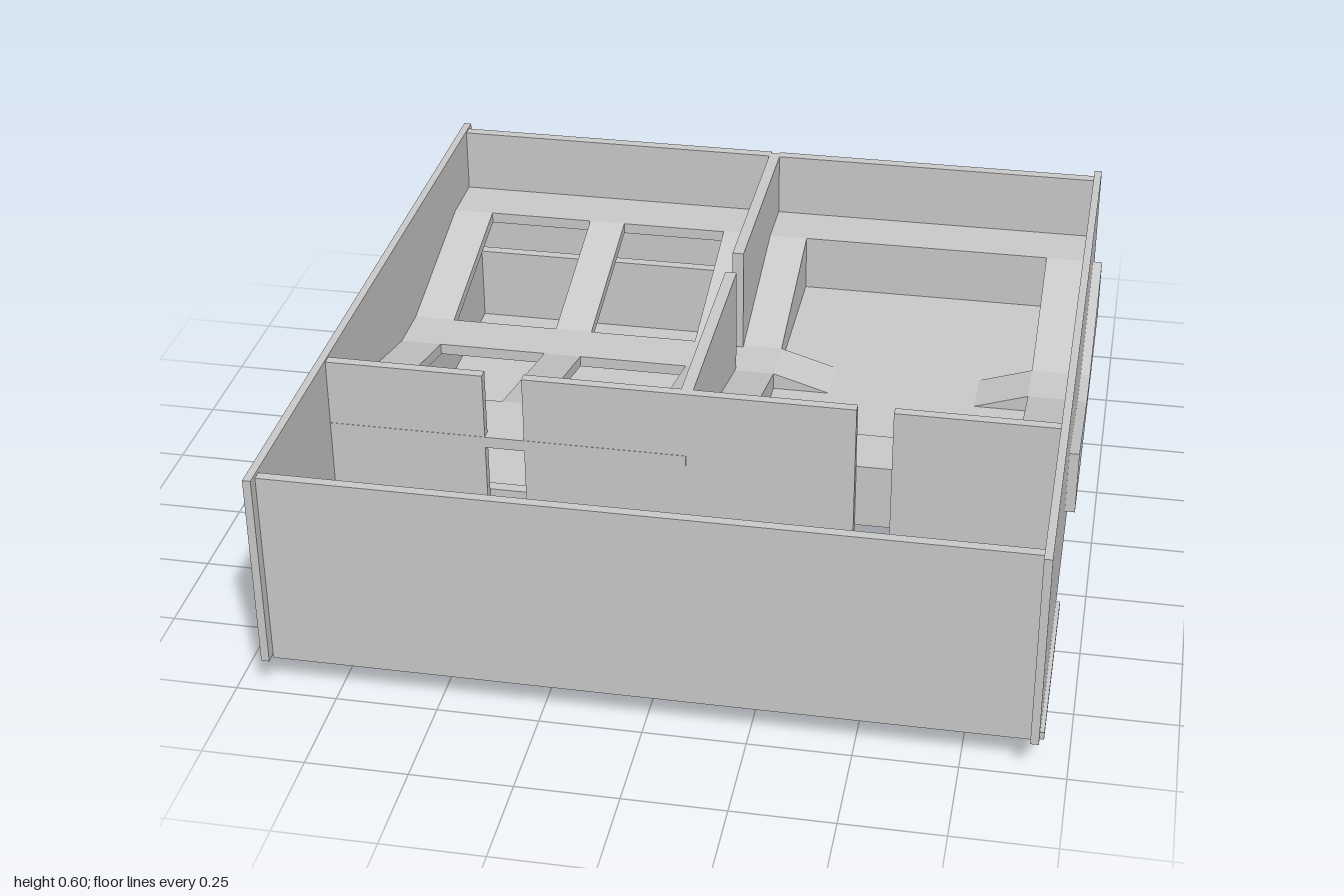
import * as THREE from 'three';

const grey = new THREE.MeshStandardMaterial({ color: 0xcccccc, flatShading: true });

export function createModel() {
  const model = new THREE.Group();

  function add(name, geometry) {
    const mesh = new THREE.Mesh(geometry, grey);
    mesh.name = name;
    model.add(mesh);
    return mesh;
  }

  // Box given by its limits on each axis
  function box(name, x0, x1, y0, y1, z0, z1) {
    const g = new THREE.BoxGeometry(x1 - x0, y1 - y0, z1 - z0);
    g.translate((x0 + x1) / 2, (y0 + y1) / 2, (z0 + z1) / 2);
    return add(name, g);
  }

  // Upright prism: [x, y] outline run along z, or [z, y] outline run along x
  function prism(name, outline, axis, from, to) {
    const shape = new THREE.Shape(outline.map(([a, y]) => new THREE.Vector2(axis === 'x' ? -a : a, y)));
    const g = new THREE.ExtrudeGeometry(shape, { depth: to - from, bevelEnabled: false });
    g.translate(0, 0, from);
    if (axis === 'x') g.rotateY(Math.PI / 2);
    return add(name, g);
  }

  // Outer walls
  box('leftSideWall', 0.91, 0.93, 0.09, 0.6, -1, 1);
  box('rightSideWall', -0.93, -0.91, 0.09, 0.6, -1, 1);
  box('frontWall', -0.91, 0.92, 0.08, 0.59, 0.945, 0.97);
  box('backWallLeft', 0.012, 0.91, 0.09, 0.595, -0.975, -0.945);
  box('backWallRight', -0.91, -0.012, 0.09, 0.595, -0.975, -0.945);

  // Dividers, with gaps for the channels
  for (const [x0, x1] of [[-0.91, -0.51], [-0.41, 0.42], [0.51, 0.91]])
    box('crossDivider', x0, x1, 0.09, 0.595, 0.402, 0.428);
  for (const [z0, z1] of [[-0.965, -0.33], [-0.22, 0.402]])
    box('centreDivider', -0.015, 0.015, 0.09, 0.595, z0, z1);

  // Front compartment: floor plate and liner with a U-shaped channel
  box('frontFloor', -0.91, 0.94, 0.08, 0.1, 0.43, 0.965);
  const liner = new THREE.Shape([
    [-0.91, 0.43], [-0.51, 0.43], [-0.51, 0.61], [-0.6, 0.61], [-0.6, 0.74], [0.6, 0.74],
    [0.6, 0.61], [0.51, 0.61], [0.51, 0.43], [0.91, 0.43], [0.91, 0.945], [-0.91, 0.945],
  ].map(([x, z]) => new THREE.Vector2(x, -z)));
  const channel = new THREE.Shape([
    [-0.41, 0.43], [0.42, 0.43], [0.42, 0.61], [-0.41, 0.61],
  ].map(([x, z]) => new THREE.Vector2(x, -z)));
  const linerGeometry = new THREE.ExtrudeGeometry([liner, channel], { depth: 0.15, bevelEnabled: false });
  linerGeometry.rotateX(-Math.PI / 2);
  linerGeometry.translate(0, 0.1, 0);
  add('frontLiner', linerGeometry);

  // Dipped line shared by all ribs, as [z, y]
  const dip = [[0.25, 0.42], [-0.2, 0.31], [-0.34, 0.31], [-0.79, 0.42]];

  // Right half: thin folded sheet with four openings and an outer tab
  const sheet = [...dip, ...dip.map(([z, y]) => [z, y - 0.03]).reverse()];
  for (const [x0, x1] of [[-0.955, -0.8], [-0.51, -0.41], [-0.12, 0]])
    prism('rightSheetRib', sheet, 'x', x0, x1);
  for (const [x0, x1] of [[-0.8, -0.51], [-0.41, -0.12]])
    box('rightSheetCrossbar', x0, x1, 0.28, 0.31, -0.34, -0.2);
  box('rightSheetFrontRim', -0.91, 0, 0.39, 0.42, 0.25, 0.429);
  box('rightSheetBackRim', -0.91, 0, 0.39, 0.42, -0.976, -0.79);

  // Left half: solid insert around one large tray
  const block = [...dip, [-0.79, 0.25], [0.25, 0.25]];
  for (const [x0, x1] of [[0, 0.12], [0.8, 0.955]])
    prism('leftInsertRib', block, 'x', x0, x1);
  box('leftInsertFrontRim', 0, 0.91, 0.25, 0.42, 0.25, 0.402);
  box('leftInsertBackRim', 0, 0.91, 0.25, 0.42, -0.976, -0.79);
  box('leftTrayFloor', 0.12, 0.8, 0.25, 0.265, -0.79, 0.25);
  prism('innerRamp', [[0.12, 0.26], [0.27, 0.265], [0.12, 0.31]], 'z', -0.34, -0.2);
  prism('outerRamp', [[0.8, 0.26], [0.8, 0.31], [0.66, 0.265]], 'z', -0.34, -0.2);

  // Lowered box hanging below the right half
  box('lowerBoxFloor', -0.86, -0.065, 0.018, 0.04, -0.9, 0.4);
  box('lowerBoxOuterWall', -0.89, -0.86, 0, 0.25, -0.9, 0.37);
  box('lowerBoxInnerWall', -0.065, -0.035, 0, 0.25, -0.9, 0.37);
  box('lowerBoxFrontWall', -0.89, -0.035, 0.018, 0.25, 0.37, 0.4);
  box('lowerBoxBackWall', -0.86, -0.065, 0.018, 0.25, -0.9, -0.87);

  return model;
}
